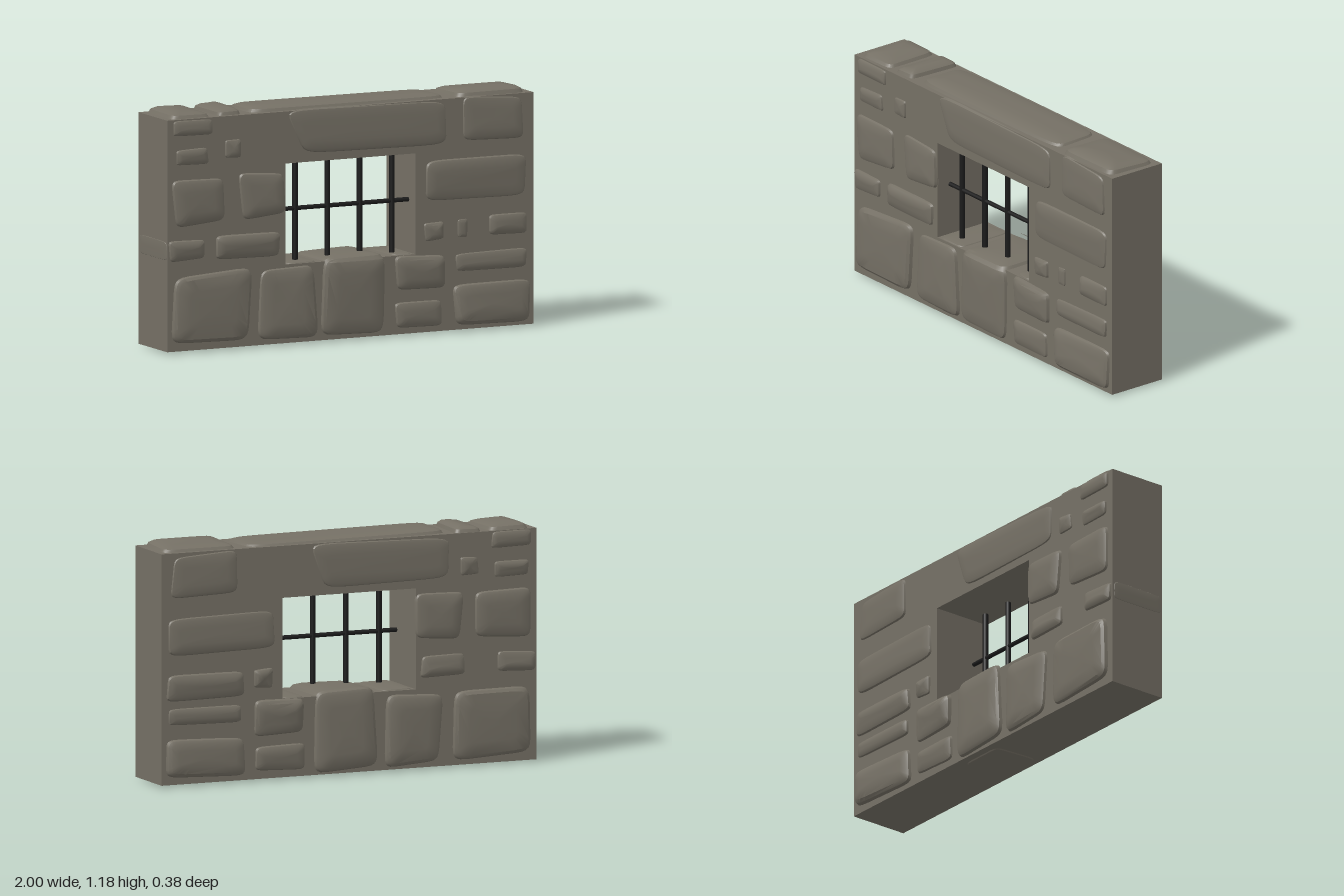
import * as THREE from 'three';
import { toCreasedNormals } from 'three/addons/utils/BufferGeometryUtils.js';

const stoneMat = new THREE.MeshStandardMaterial({ color: 0x757065 });
stoneMat.name = 'stone';
const ironMat = new THREE.MeshStandardMaterial({ color: 0x1b1b1b });
ironMat.name = 'iron';

const BOTTOM = 0.01, TOP = 1.145, HALF_DEPTH = 0.154;

function seeded(seed) {
  let s = seed;
  return () => {
    s = (s * 16807) % 2147483647;
    return s / 2147483647;
  };
}

// Worn stone face: a crooked rounded rectangle rising towards +z in a few rings.
// cut pulls the lower left corner inwards.
function stoneGeometry(x0, x1, y0, y1, height, seed, bevel = 0.022, cut = 0) {
  const rnd = seeded(seed * 7919 + 17);
  for (let i = 0; i < 4; i++) rnd();
  const hw = (x1 - x0) / 2, hh = (y1 - y0) / 2;
  const wob = Math.min(0.022, hw * 0.14, hh * 0.14);
  const corner = () => [(rnd() - 0.5) * 2 * wob, (rnd() - 0.5) * 2 * wob];
  const corners = [corner(), corner(), corner(), corner()];
  corners[0][0] += cut;
  const tiltX = (rnd() - 0.5) * 0.4, tiltY = (rnd() - 0.5) * 0.4;
  const b = Math.min(bevel, hw * 0.35, hh * 0.35);
  const rings = [[0, -0.006], [b * 0.35, height * 0.5], [b, height * 0.82], [b + Math.min(hw, hh) * 0.35, height * 0.97]];
  const N = 24, pos = [], idx = [];

  const addPoint = (u, v, inset, z) => {
    const px = u * (hw - inset), py = v * (hh - inset);
    const a = (px / hw + 1) / 2, c = (py / hh + 1) / 2;
    const w = [(1 - a) * (1 - c), a * (1 - c), a * c, (1 - a) * c];
    let dx = 0, dy = 0;
    corners.forEach((k, i) => { dx += k[0] * w[i]; dy += k[1] * w[i]; });
    const lift = z > 0 ? z * (1 + tiltX * u + tiltY * v) : z;
    pos.push((x0 + x1) / 2 + px + dx, (y0 + y1) / 2 + py + dy, lift);
  };

  for (const [inset, z] of rings) {
    for (let i = 0; i < N; i++) {
      const t = ((i + 0.5) / N) * Math.PI * 2;
      const p = (f) => Math.sign(f) * Math.pow(Math.abs(f), 0.24);
      addPoint(p(Math.cos(t)), p(Math.sin(t)), inset, z);
    }
  }
  addPoint(0, 0, 0, height);
  const last = rings.length - 1;
  for (let i = 0; i < N; i++) {
    const j = (i + 1) % N;
    for (let r = 0; r < last; r++) {
      const o = r * N, n = o + N;
      idx.push(o + i, o + j, n + j, o + i, n + j, n + i);
    }
    idx.push(last * N + i, last * N + j, rings.length * N);
  }
  const geo = new THREE.BufferGeometry();
  geo.setAttribute('position', new THREE.Float32BufferAttribute(pos, 3));
  geo.setIndex(idx);
  return toCreasedNormals(geo, 0.5);
}

// A named set of stones lying on one plane
function stoneSet(name, list, seed) {
  const group = new THREE.Group();
  group.name = name;
  list.forEach(([x0, x1, y0, y1, h, bevel, cut], i) => {
    const mesh = new THREE.Mesh(stoneGeometry(x0, x1, y0, y1, h, seed + i, bevel, cut), stoneMat);
    mesh.name = name + 'Stone' + (i + 1);
    group.add(mesh);
  });
  return group;
}

// Stones found on both faces: x0, x1, y0, y1, height
const shared = [
  [-0.96, -0.55, 0.04, 0.39, 0.03],
  [-0.49, -0.19, 0.03, 0.385, 0.026],
  [-0.145, 0.185, 0.03, 0.41, 0.026],
  [0.24, 0.505, 0.225, 0.39, 0.028],
  [0.24, 0.5, 0.04, 0.175, 0.02],
  [0.57, 0.96, 0.295, 0.385, 0.018],
  [0.56, 0.97, 0.035, 0.23, 0.03],
  [-0.99, -0.79, 0.45, 0.55, 0.02],
  [0.4, 0.505, 0.455, 0.55, 0.02],
  [-0.965, -0.675, 0.625, 0.855, 0.022],
  [-0.6, -0.36, 0.64, 0.86, 0.022],
  [0.395, 0.955, 0.635, 0.84, 0.016],
  [-0.955, -0.775, 0.915, 1.0, 0.016],
  [-0.69, -0.595, 0.935, 1.03, 0.015],
  [-0.97, -0.755, 1.06, 1.14, 0.016],
  [0.6, 0.945, 0.925, 1.14, 0.014],
];
const frontOnly = [
  [-0.74, -0.38, 0.44, 0.57, 0.024],
  [0.58, 0.635, 0.46, 0.55, 0.01],
  [0.75, 0.965, 0.46, 0.56, 0.02],
  [-0.36, 0.52, 0.93, 1.14, 0.012, 0.02, 0.1],
];
const backOnly = [
  [-0.62, -0.38, 0.45, 0.56, 0.02],
  [0.56, 0.97, 0.42, 0.55, 0.022],
  [-0.53, 0.22, 0.93, 1.14, 0.012, 0.02, 0.1],
];
const flipX = ([x0, x1, ...rest]) => [-x1, -x0, ...rest];

export function createModel() {
  const model = new THREE.Group();
  model.name = 'barredWindowWall';

  // Wall block with the window opening
  const rect = (P, x, y0, y1) => {
    const p = new P();
    p.moveTo(-x, y0).lineTo(x, y0).lineTo(x, y1).lineTo(-x, y1).closePath();
    return p;
  };
  const outline = rect(THREE.Shape, 0.997, BOTTOM, TOP);
  outline.holes.push(rect(THREE.Path, 0.355, 0.395, 0.89));
  const wallGeo = new THREE.ExtrudeGeometry(outline, { depth: HALF_DEPTH * 2, bevelEnabled: false });
  wallGeo.translate(0, 0, -HALF_DEPTH);
  const wall = new THREE.Mesh(wallGeo, stoneMat);
  wall.name = 'wall';
  model.add(wall);

  // Front and back stones
  const front = stoneSet('front', [...shared, ...frontOnly], 1);
  front.position.z = HALF_DEPTH;
  const back = stoneSet('back', [...shared, ...backOnly].map(flipX), 40);
  back.rotation.y = Math.PI;
  back.position.z = -HALF_DEPTH;

  // Capstones along the top
  const cap = stoneSet('cap', [
    [-0.975, -0.745, -0.15, 0.15, 0.032, 0.04],
    [-0.715, -0.57, -0.14, 0.15, 0.032, 0.04],
    [-0.54, 0.54, -0.14, 0.155, 0.024, 0.035],
    [0.58, 0.98, -0.15, 0.15, 0.032, 0.035],
  ], 80);
  cap.rotation.x = -Math.PI / 2;
  cap.position.y = TOP;

  // Stones rising through the window sill
  const sill = stoneSet('sill', [
    [-0.35, -0.185, -0.145, 0.145, 0.008],
    [-0.145, 0.185, -0.165, 0.165, 0.022, 0.04],
    [0.235, 0.35, -0.145, 0.145, 0.006],
  ], 90);
  sill.rotation.x = -Math.PI / 2;
  sill.position.y = 0.395;

  // Slight bumps under the wall and on its right end
  const underside = stoneSet('underside', [[-0.06, 0.19, -0.13, 0.13, 0.01]], 95);
  underside.rotation.x = Math.PI / 2;
  underside.position.y = BOTTOM;
  const end = stoneSet('end', [[-0.15, 0.15, 0.45, 0.55, 0.003]], 97);
  end.rotation.y = -Math.PI / 2;
  end.position.x = -0.997;
  model.add(front, back, cap, sill, underside, end);

  // Iron bars
  const bars = new THREE.Group();
  bars.name = 'windowBars';
  for (const x of [-0.262, -0.086, 0.09, 0.265]) {
    const bar = new THREE.Mesh(new THREE.CylinderGeometry(0.014, 0.014, 0.51, 10), ironMat);
    bar.name = 'verticalBar';
    bar.position.set(x, 0.645, 0.075);
    bars.add(bar);
  }
  const crossBar = new THREE.Mesh(new THREE.CylinderGeometry(0.011, 0.011, 0.72, 10), ironMat);
  crossBar.name = 'crossBar';
  crossBar.rotation.z = Math.PI / 2;
  crossBar.position.set(0, 0.655, 0.075);
  bars.add(crossBar);
  model.add(bars);

  return model;
}
